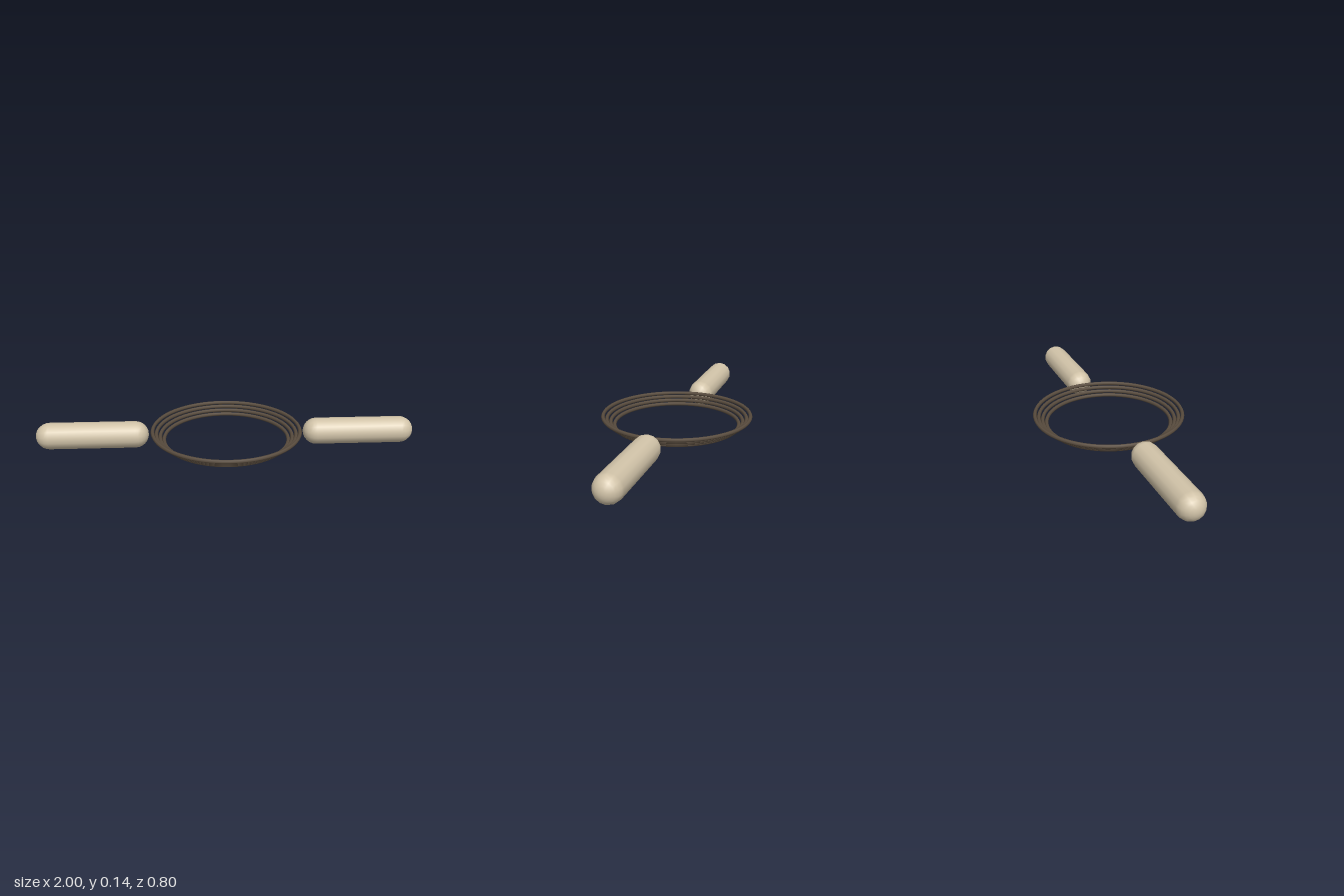
import * as THREE from 'three';

export function createModel() {
  const model = new THREE.Group();
  const wood = new THREE.MeshStandardMaterial({ color: 0xd2c4a9 });
  wood.name = 'pale wood';
  const cord = new THREE.MeshStandardMaterial({ color: 0x5a4d3f });
  cord.name = 'dark brown cord';

  // Stacked coils, widening towards the top
  const coils = new THREE.Group();
  coils.name = 'coiledRing';
  for (let i = 0; i < 4; i++) {
    const geometry = new THREE.TorusGeometry(0.33 + i * 0.02, 0.01, 6, 64);
    geometry.rotateX(-Math.PI / 2);
    const coil = new THREE.Mesh(geometry, cord);
    coil.name = `coil${i + 1}`;
    coil.position.y = 0.041 + i * 0.0157;
    coils.add(coil);
  }
  model.add(coils);

  // Rounded grips on both sides of the ring
  const gripGeometry = new THREE.CapsuleGeometry(0.07, 0.45, 6, 14);
  gripGeometry.rotateZ(Math.PI / 2);
  for (const side of [-1, 1]) {
    const grip = new THREE.Mesh(gripGeometry, wood);
    grip.name = side > 0 ? 'leftGrip' : 'rightGrip';
    grip.position.set(side * 0.705, 0.07, 0);
    model.add(grip);
  }
  return model;
}
